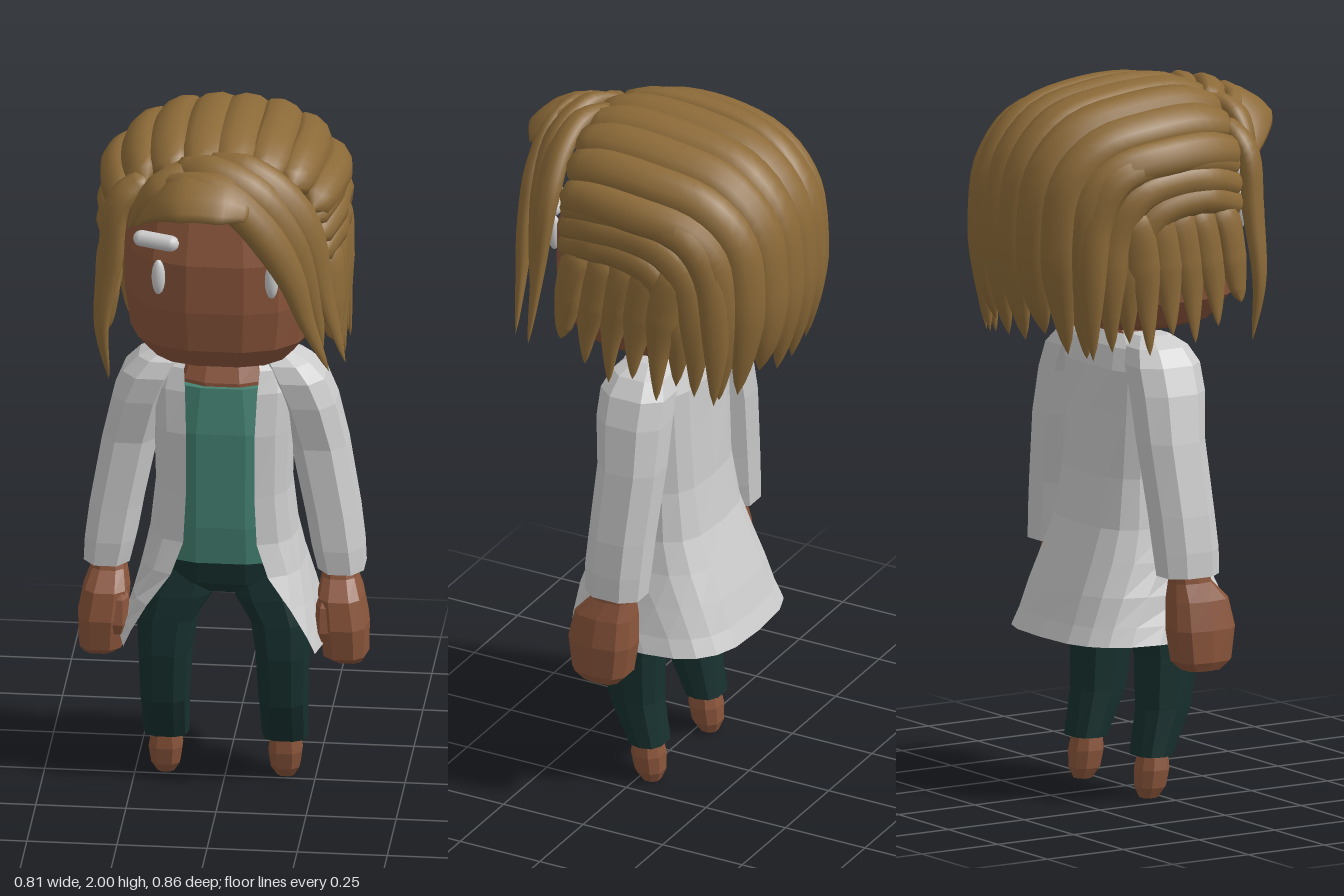
import * as THREE from 'three';

const V = (x, y, z) => new THREE.Vector3(x, y, z);
const mat = (color, flatShading = true, side = THREE.FrontSide) =>
  new THREE.MeshStandardMaterial({ color, flatShading, side });
const skin = mat(0x8a553b), pants = mat(0x17312f), shirtMat = mat(0x458272);
const coatMat = mat(0xcccccc, true, THREE.DoubleSide);
const hair = mat(0x8c6a38, false, THREE.DoubleSide), white = mat(0xffffff, false);

// Surface through a stack of rings
function skinRings(rings, closed = true) {
  const n = rings[0].length, pos = [], idx = [];
  rings.forEach(r => r.forEach(p => pos.push(p.x, p.y, p.z)));
  for (let i = 0; i < rings.length - 1; i++)
    for (let j = 0; j < (closed ? n : n - 1); j++) {
      const k = (j + 1) % n, a = i * n + j, b = i * n + k, c = b + n, d = a + n;
      idx.push(a, b, c, a, c, d);
    }
  const g = new THREE.BufferGeometry();
  g.setAttribute('position', new THREE.Float32BufferAttribute(pos, 3));
  g.setIndex(idx);
  g.computeVertexNormals();
  return g;
}

const pw = (v, e) => Math.sign(v) * Math.abs(v) ** e;

// Capped loft of rounded-square rings, rows [x, y, z, rx, rz] from bottom to top
function loft(rows, sides = 10, e = 0.8, s = 1) {
  const rings = rows.map(([x, y, z, rx, rz]) => Array.from({ length: sides }, (_, j) => {
    const a = (j + 0.5) / sides * Math.PI * 2;
    return V(s * x + rx * pw(Math.sin(a), e), y, z + rz * pw(Math.cos(a), e));
  }));
  const cap = ([x, y, z]) => Array.from({ length: sides }, () => V(s * x, y, z));
  return skinRings([cap(rows[0]), ...rings, cap(rows[rows.length - 1])]);
}

// Flattened lock of hair along a curve, facing away from the head's core; lift turns it upward
function lock(points, width, thick, startWidth, tip, lift = 0) {
  const curve = new THREE.CatmullRomCurve3(points), N = 26, M = 10, rings = [];
  for (let i = 0; i <= N; i++) {
    const t = i / N, p = curve.getPoint(t), T = curve.getTangent(t);
    const n = p.clone().sub(V(0, THREE.MathUtils.clamp(p.y, 1.2, 1.65) - lift, -0.03));
    n.addScaledVector(T, -n.dot(T)).normalize();
    const b = n.clone().cross(T);
    const grow = i === 0 ? 0 : Math.min(1, startWidth + t * 2);
    const k = grow * Math.min(1, (1 - t) / tip) ** 0.7;
    rings.push(Array.from({ length: M }, (_, j) => {
      const a = j / M * Math.PI * 2;
      return p.clone().addScaledVector(b, width * k * Math.cos(a))
        .addScaledVector(n, thick * k * Math.sin(a));
    }));
  }
  return skinRings(rings);
}

export function createModel() {
  const model = new THREE.Group();
  const add = (name, geo, material, parent = model) => {
    const m = new THREE.Mesh(geo, material);
    m.name = name;
    parent.add(m);
    return m;
  };

  // Head and neck
  add('head', loft([
    [0, 1.305, 0.03, 0.13, 0.12], [0, 1.33, 0.03, 0.2, 0.19], [0, 1.40, 0.03, 0.255, 0.25],
    [0, 1.52, 0.03, 0.272, 0.265], [0, 1.66, 0.03, 0.272, 0.262], [0, 1.78, 0.02, 0.25, 0.24],
    [0, 1.87, 0.0, 0.19, 0.19], [0, 1.91, 0, 0.1, 0.1]], 16, 0.75), skin);
  add('neck', loft([[0, 1.17, 0.0, 0.125, 0.09], [0, 1.22, 0, 0.125, 0.088], [0, 1.27, -0.01, 0.11, 0.07],
    [0, 1.3, -0.01, 0.075, 0.07], [0, 1.36, -0.01, 0.075, 0.07]]), skin);

  // Torso
  add('shirt', loft([[0, 0.69, 0.0, 0.17, 0.118], [0, 0.8, 0.0, 0.165, 0.127],
    [0, 1.08, 0, 0.165, 0.122], [0, 1.21, 0, 0.14, 0.1]], 12, 0.65), shirtMat);
  add('hips', loft([[0, 0.585, 0.0, 0.13, 0.07], [0, 0.62, 0.0, 0.19, 0.1],
    [0, 0.71, 0, 0.175, 0.115]], 12, 0.75), pants);

  // Open coat: rows of y, half width, front depth, back depth, half opening
  const coatRows = [[0.45, 0.285, 0.28, 0.285, 0.266], [0.5, 0.27, 0.265, 0.262, 0.245],
    [0.58, 0.25, 0.215, 0.235, 0.2], [0.67, 0.225, 0.17, 0.2, 0.135], [0.76, 0.205, 0.145, 0.165, 0.102],
    [0.9, 0.19, 0.14, 0.14, 0.095], [1.08, 0.195, 0.133, 0.13, 0.095], [1.2, 0.2, 0.112, 0.125, 0.1],
    [1.26, 0.175, 0.09, 0.105, 0.105], [1.295, 0.12, 0.05, 0.08, 0.095]];
  add('coat', skinRings(coatRows.map(([y, rx, f, b, open]) => {
    const a0 = Math.asin((open / rx) ** (1 / 0.65)), n = 14;
    return Array.from({ length: n + 1 }, (_, j) => {
      const a = a0 + j / n * (2 * Math.PI - 2 * a0), c = pw(Math.cos(a), 0.65);
      return V(rx * pw(Math.sin(a), 0.65), y, c * (c > 0 ? f : b));
    });
  }), false), coatMat);

  // Limbs and face, mirrored
  for (const s of [1, -1]) {
    const side = s > 0 ? 'left' : 'right';
    add(side + 'Sleeve', loft([[0.325, 0.65, -0.01, 0.068, 0.088], [0.315, 0.72, -0.01, 0.075, 0.092],
      [0.3, 0.82, -0.015, 0.078, 0.092], [0.262, 1.02, -0.025, 0.082, 0.095],
      [0.23, 1.15, -0.015, 0.085, 0.105], [0.2, 1.225, -0.012, 0.085, 0.105],
      [0.17, 1.27, -0.01, 0.072, 0.085], [0.14, 1.298, -0.01, 0.045, 0.05]], 8, 0.8, s), coatMat);
    add(side + 'Hand', loft([[0.345, 0.385, 0.02, 0.045, 0.055], [0.338, 0.41, 0.025, 0.065, 0.085],
      [0.335, 0.5, 0.025, 0.07, 0.098], [0.325, 0.58, 0.02, 0.065, 0.088],
      [0.32, 0.63, 0, 0.05, 0.06], [0.32, 0.68, -0.01, 0.045, 0.05]], 10, 0.7, s), skin);
    add(side + 'Thumb', loft([[0.29, 0.46, 0.09, 0.018, 0.018], [0.288, 0.49, 0.09, 0.028, 0.028],
      [0.29, 0.56, 0.075, 0.03, 0.03], [0.305, 0.62, 0.03, 0.025, 0.025]], 6, 0.9, s), skin);
    add(side + 'TrouserLeg', loft([[0.165, 0.12, -0.027, 0.064, 0.052], [0.164, 0.25, 0.014, 0.069, 0.076],
      [0.162, 0.4, 0.024, 0.076, 0.088], [0.156, 0.5, 0.015, 0.086, 0.095],
      [0.128, 0.575, 0.005, 0.105, 0.1], [0.1, 0.65, 0, 0.09, 0.09]], 10, 0.75, s), pants);
    add(side + 'Foot', loft([[0.166, 0.0, -0.035, 0.025, 0.025], [0.166, 0.03, -0.03, 0.042, 0.042],
      [0.166, 0.08, -0.025, 0.049, 0.047], [0.165, 0.14, -0.02, 0.04, 0.038]], 8, 0.8, s), skin);

    const eye = add(side + 'Eye', new THREE.SphereGeometry(1, 12, 10), white);
    eye.scale.set(0.019, 0.052, 0.018);
    eye.position.set(s * 0.157, 1.62, 0.277);
    const brow = add(side + 'Eyebrow', new THREE.CapsuleGeometry(0.023, 0.085, 4, 10), white);
    brow.position.set(s * 0.165, 1.722, 0.262);
    brow.rotation.set(0, s * 0.22, Math.PI / 2 + s * 0.06);
  }

  // Hair: inner shell closes the gaps between locks
  const hairGroup = new THREE.Group();
  hairGroup.name = 'hair';
  model.add(hairGroup);
  const shell = add('hairShell', new THREE.SphereGeometry(1, 28, 16, 0, Math.PI * 2, 0, Math.PI * 0.64), hair, hairGroup);
  shell.scale.set(0.31, 0.36, 0.31);
  shell.position.set(0, 1.6, -0.09);
  const addLock = (name, ...spec) => add(name, lock(...spec), hair, hairGroup);

  // Crown locks, [height, z, spread]: over the top and down the back, drawing in behind
  const crown = [[0.32, 0.25, 0.86], [0.355, 0.12, 0.96], [0.35, -0.08, 1], [0.305, -0.26, 0.93],
    [0.19, -0.365, 0.85], [0.02, -0.393, 0.83], [-0.16, -0.385, 0.83], [-0.3, -0.36, 0.83]];
  const crownX = [[0.05, 0.064, 0], [0.15, 0.063, 0.03], [0.237, 0.06, -0.02], [0.305, 0.055, 0.02]];
  for (const s of [1, -1]) {
    for (const [x, w, d] of crownX) {
      const f = (1 - (x / 0.36) ** 2.5) ** 0.4;
      addLock('crownLock', crown.map(([dy, z, spread], i) => V(s * x * spread,
        1.6 + (dy > 0 ? dy * f : dy) + (i === 7 ? d : 0), z < 0 ? z * (0.3 + 0.7 * f) : z - x * 0.15)),
      w, 0.04, 0.75, 0.22);
    }
    // Side locks sweep back, then turn down in nested arcs
    [[1.81, 0.3, -0.275], [1.755, 0.312, -0.22], [1.70, 0.315, -0.165]].forEach(([y, x, z], i) =>
      addLock('sideLock', [V(s * (x - 0.03), y - 0.04, 0.2), V(s * x, y, 0.08), V(s * x, y + 0.005, z + 0.19),
        V(s * (x - 0.005), y - 0.03, z + 0.06), V(s * (x - 0.025), y - 0.15, z - 0.005),
        V(s * (x - 0.025), 1.45, z - 0.02), V(s * (x - 0.03), 1.27 + i * 0.02, z - 0.01)],
      0.048, 0.034, 0.6, 0.25));
    // Short locks hang over the temples, tips leaning forward
    [[0.15, 1.40], [0.075, 1.34], [0.0, 1.30], [-0.075, 1.33], [-0.15, 1.28]].forEach(([z, tip]) =>
      addLock('templeLock', [V(s * 0.285, 1.7, z - 0.05), V(s * 0.307, 1.63, z - 0.02),
        V(s * 0.312, 1.52, z), V(s * 0.32, 1.43, z + 0.01), V(s * 0.335, tip, z + 0.01)],
      0.052, 0.032, 0.6, 0.5));
    // Locks between the sides and the back
    addLock('napeLock', [V(s * 0.22, 1.66, -0.3), V(s * 0.235, 1.48, -0.3), V(s * 0.23, 1.27, -0.28)],
      0.058, 0.035, 0.8, 0.6);
  }

  // Long lock beside the right of the face
  addLock('faceLock', [V(-0.2, 1.89, 0.19), V(-0.275, 1.81, 0.22), V(-0.295, 1.65, 0.225),
    V(-0.32, 1.45, 0.23), V(-0.3, 1.28, 0.22)], 0.044, 0.03, 0.7, 0.5);

  // Fringe parted at the right and swept across the forehead to the left
  addLock('fringeRoll', [V(0.11, 1.865, 0.345), V(0.03, 1.895, 0.355), V(-0.08, 1.895, 0.35),
    V(-0.16, 1.85, 0.315), V(-0.23, 1.76, 0.25)], 0.088, 0.03, 0.5, 0.5, 0.4);
  addLock('fringeRight', [V(-0.03, 1.93, 0.2), V(-0.12, 1.905, 0.26), V(-0.19, 1.85, 0.27),
    V(-0.245, 1.75, 0.25)], 0.05, 0.028, 0.7, 0.5, 0.2);
  addLock('fringeFront', [V(-0.16, 1.885, 0.25), V(-0.08, 1.91, 0.31), V(0.03, 1.895, 0.34),
    V(0.13, 1.805, 0.345), V(0.215, 1.66, 0.335), V(0.26, 1.52, 0.325),
    V(0.32, 1.37, 0.31)], 0.052, 0.032, 0.5, 0.45);
  addLock('fringeMiddle', [V(-0.12, 1.92, 0.21), V(-0.02, 1.935, 0.27), V(0.11, 1.89, 0.295),
    V(0.21, 1.76, 0.285), V(0.265, 1.6, 0.275), V(0.3, 1.42, 0.265)], 0.056, 0.033, 0.6, 0.4);
  addLock('fringeRear', [V(-0.04, 1.935, 0.2), V(0.07, 1.935, 0.245), V(0.17, 1.88, 0.255), V(0.255, 1.76, 0.25),
    V(0.3, 1.58, 0.25), V(0.36, 1.37, 0.25)], 0.055, 0.033, 0.6, 0.45);
  return model;
}
